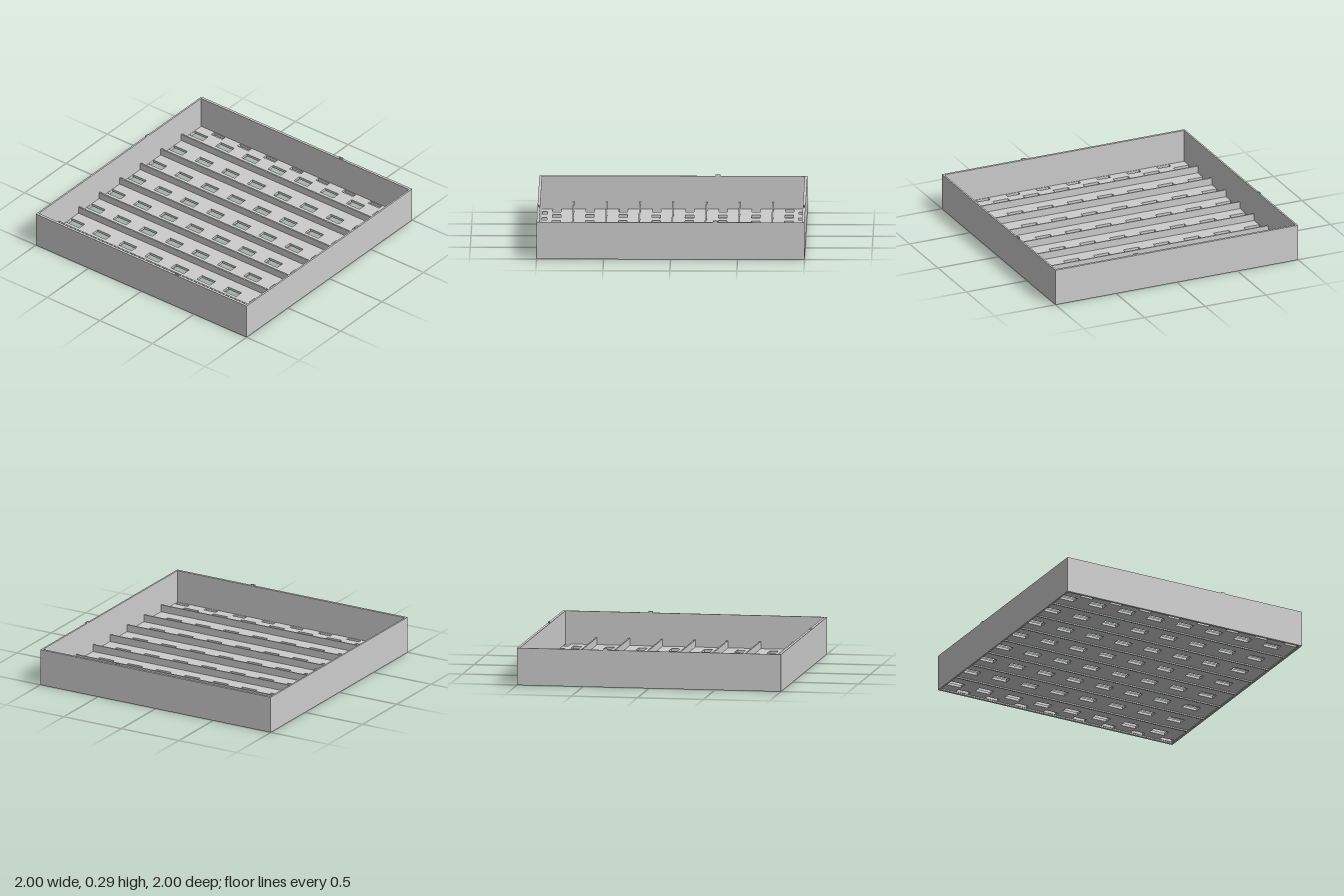
import * as THREE from 'three';

const WALL_TOP = 0.28, IN_X = 0.98, IN_Z = 0.987;
const FLOOR_Y = 0.01, FLOOR_T = 0.02, PITCH = 0.248;

// Traces a rectangle in plan; shape y is -z
function rect(path, x, z, w, d) {
  path.moveTo(x - w / 2, -z - d / 2);
  path.lineTo(x + w / 2, -z - d / 2);
  path.lineTo(x + w / 2, -z + d / 2);
  path.lineTo(x - w / 2, -z + d / 2);
  path.closePath();
  return path;
}

// Raises a plan shape into a slab standing on y
function slab(shape, y, height) {
  const g = new THREE.ExtrudeGeometry(shape, { depth: height, bevelEnabled: false });
  return g.rotateX(-Math.PI / 2).translate(0, y, 0);
}

export function createModel() {
  const group = new THREE.Group();
  const grey = new THREE.MeshStandardMaterial({ color: 0xcccccc });
  grey.name = 'light grey';
  const add = (name, geometry, x = 0, y = 0, z = 0) => {
    const mesh = new THREE.Mesh(geometry, grey);
    mesh.name = name;
    mesh.position.set(x, y, z);
    group.add(mesh);
  };

  // Outer wall frame
  const frame = rect(new THREE.Shape(), 0, 0, 2, 2);
  frame.holes.push(rect(new THREE.Path(), 0, 0, IN_X * 2, IN_Z * 2));
  add('wallFrame', slab(frame, 0, WALL_TOP));

  // Perforated floor: an 8 x 8 grid of slots plus a narrow row along each side
  const floor = rect(new THREE.Shape(), 0, 0, IN_X * 2, IN_Z * 2);
  for (let row = 0; row < 8; row++) {
    for (let col = 0; col < 8; col++) {
      floor.holes.push(rect(new THREE.Path(), (col - 3.5) * PITCH, -0.922 + row * PITCH, 0.064, 0.126));
    }
    for (const side of [-1, 1]) {
      floor.holes.push(rect(new THREE.Path(), side * 0.957, -0.807 + row * PITCH, 0.036, 0.105));
    }
  }
  add('floor', slab(floor, FLOOR_Y, FLOOR_T));

  // Thin ribs running front to back between the slot columns
  const rib = new THREE.BoxGeometry(0.011, 0.085, IN_Z * 2);
  for (let i = -3; i <= 3; i++) add('rib', rib, i * PITCH, 0.0425, 0);

  // Small locating tabs on top of each wall
  for (const side of [-1, 1]) {
    add('endTab', new THREE.BoxGeometry(0.034, 0.02, 0.01), 0.333, 0.281, side * 0.992);
    add('sideTab', new THREE.BoxGeometry(0.01, 0.02, 0.034), side * 0.99, 0.281, 0.333);
  }
  return group;
}
